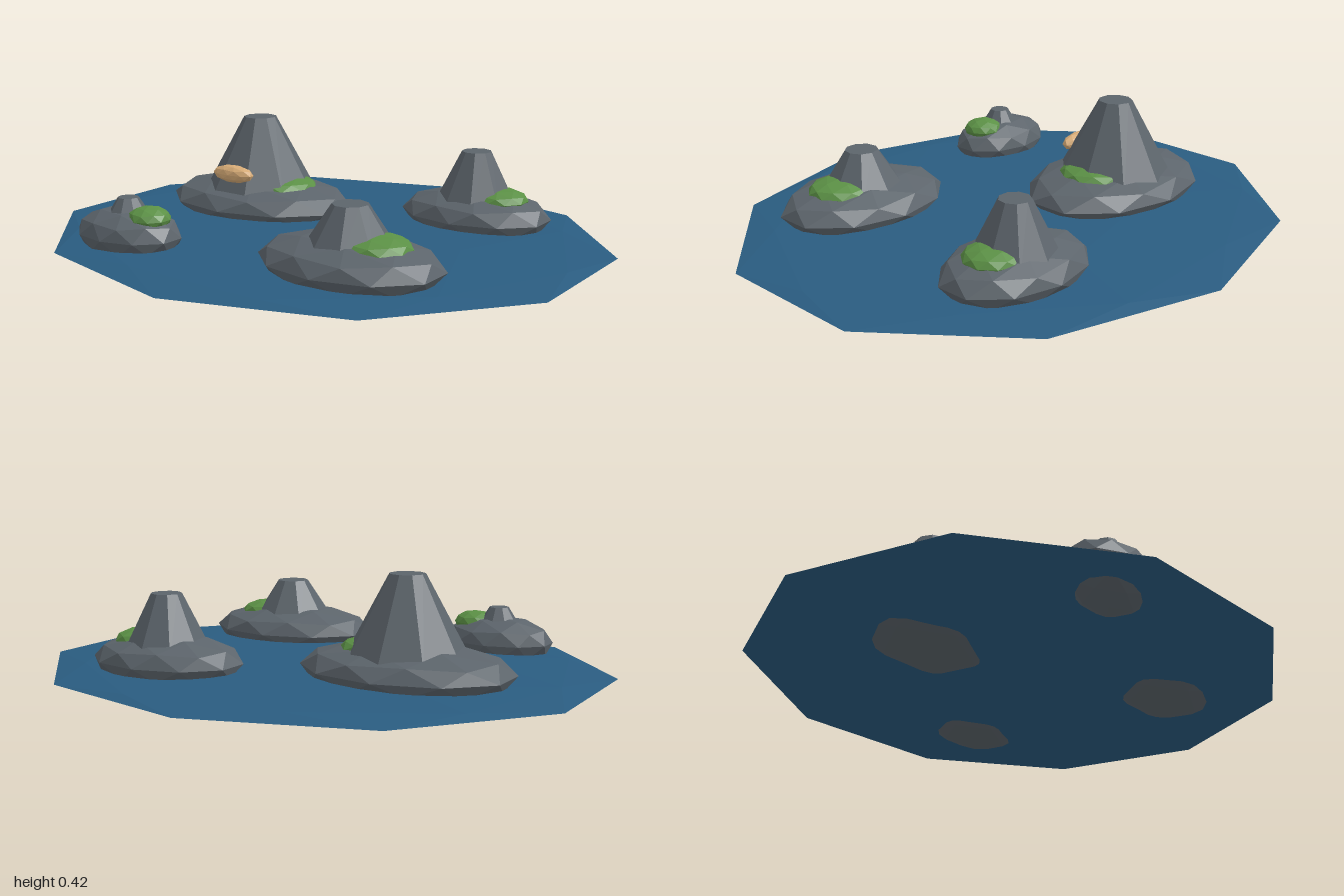
import * as THREE from 'three';

const mat = (name, color) => {
  const m = new THREE.MeshStandardMaterial({ color, flatShading: true });
  m.name = name;
  return m;
};

// Faceted ball with a vertex straight up, squashed to the given radii
function blob(name, material, [x, y, z], [rx, ry, rz]) {
  const g = new THREE.IcosahedronGeometry(1, 1);
  g.rotateZ(-Math.atan(2 / (1 + Math.sqrt(5))));
  g.scale(rx, ry, rz);
  g.computeVertexNormals();
  const mesh = new THREE.Mesh(g, material);
  mesh.name = name;
  mesh.position.set(x, y, z);
  return mesh;
}

// Nine-sided truncated cone standing between two heights
function peak(material, x, z, top, rTop, rBase) {
  const base = 0.12;
  const g = new THREE.CylinderGeometry(rTop, rBase, top - base, 9, 1, false, Math.PI);
  const mesh = new THREE.Mesh(g, material);
  mesh.name = 'peak';
  mesh.position.set(x, (top + base) / 2, z);
  return mesh;
}

export function createModel() {
  const rock = mat('rock grey', 0x5c646b);
  const water = mat('sea blue', 0x2a5c80);
  const moss = mat('moss green', 0x5b9045);
  const sand = mat('sand', 0xd9ad78);

  const model = new THREE.Group();
  model.name = 'islands';
  model.add(blob('sea', water, [0, 0.046, 0], [1.0515, 0.028, 0.917]));

  // Each island: position, size, peak height and peak radii
  const islands = [
    { name: 'largeIsland', x: -0.4, z: -0.14, r: 0.27, top: 0.42, rTop: 0.062, rBase: 0.224 },
    { name: 'backIsland', x: 0.4, z: -0.4, r: 0.203, top: 0.33, rTop: 0.055, rBase: 0.16 },
    { name: 'frontIsland', x: 0.37, z: 0.4, r: 0.232, top: 0.288, rTop: 0.06, rBase: 0.17 },
    { name: 'smallIsland', x: -0.465, z: 0.53, r: 0.147, top: 0.223, rTop: 0.036, rBase: 0.1 },
  ];
  for (const { name, x, z, r, top, rTop, rBase } of islands) {
    const island = new THREE.Group();
    island.name = name;
    island.add(
      blob('shore', rock, [x, 0.095, z], [r * 1.43, 0.095, r]),
      peak(rock, x, z, top, rTop, rBase),
      blob('mossPatch', moss, [x + 0.095, 0.16, z], [r * 0.54, 0.043, r * 0.51])
    );
    model.add(island);
  }

  // Sandy ledge on the front of the tallest peak
  model.add(blob('sandLedge', sand, [-0.4, 0.223, 0.03], [0.092, 0.034, 0.036]));
  return model;
}
